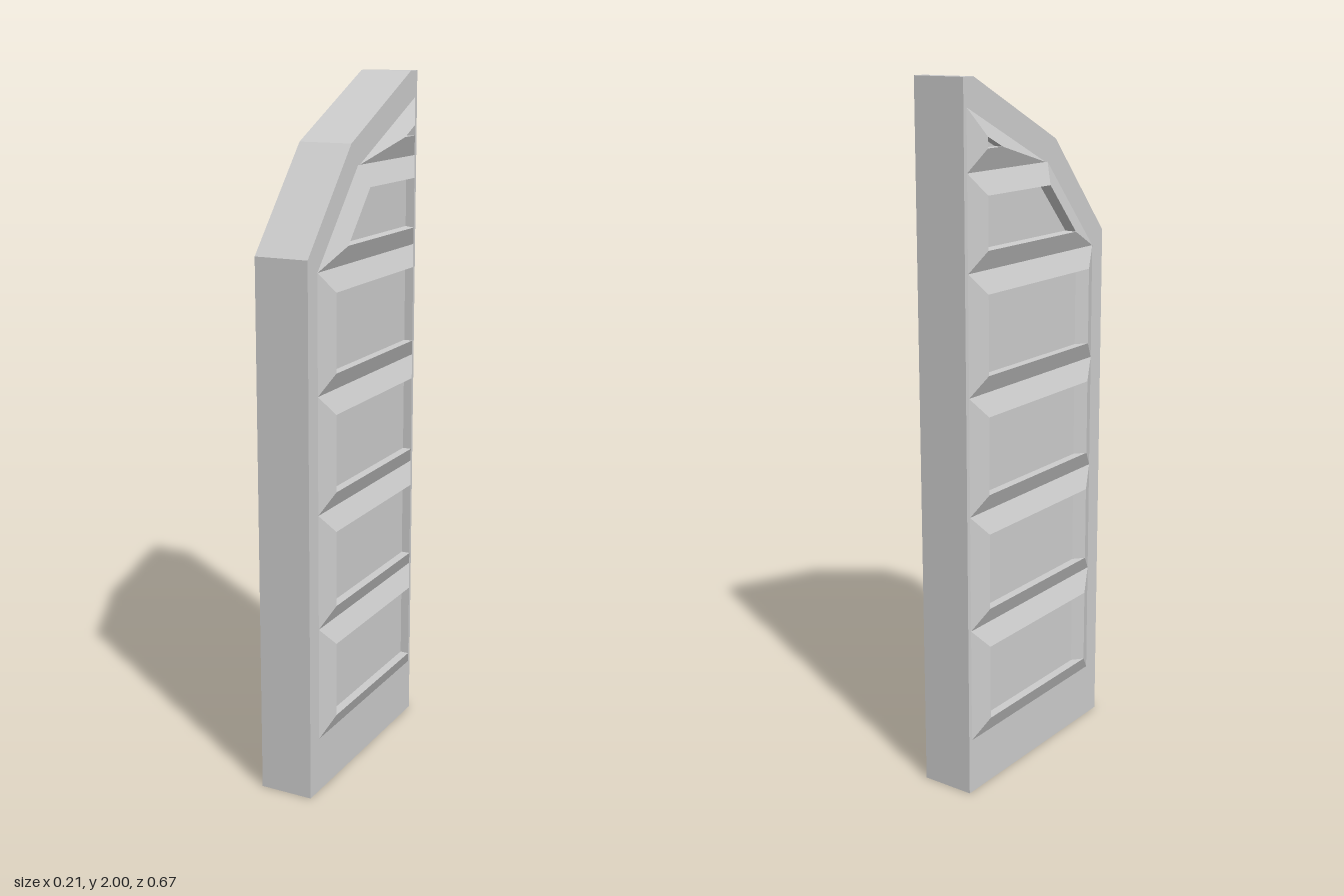
import * as THREE from 'three';

const FACE = 0.079;   // half thickness of the slab
const RIDGE = 0.105;  // height of the moulding crest

const material = new THREE.MeshStandardMaterial({ color: 0xcccccc, flatShading: true });

// Moulding frame around a panel: loops of [z, y], counter-clockwise seen from +x.
// Rises from the outer loop to the crest, then drops to the inner loop on the slab.
function mouldingGeometry(outer, crest, inner, side) {
  const rings = [[outer, FACE], [crest, RIDGE], [inner, FACE]];
  const pos = [];
  const n = outer.length;
  for (let r = 0; r < 2; r++) {
    for (let i = 0; i < n; i++) {
      const at = (k, j) => {
        const [z, y] = rings[k][0][j % n];
        return [rings[k][1] * side, y, z];
      };
      const a = at(r, i), b = at(r, i + 1), c = at(r + 1, i + 1), d = at(r + 1, i);
      if (side > 0) pos.push(...a, ...b, ...c, ...a, ...c, ...d);
      else pos.push(...a, ...c, ...b, ...a, ...d, ...c);
    }
  }
  const g = new THREE.BufferGeometry();
  g.setAttribute('position', new THREE.Float32BufferAttribute(pos, 3));
  g.computeVertexNormals();
  return g;
}

const rect = (front, back, y0, y1) => [[front, y0], [back, y0], [back, y1], [front, y1]];

export function createModel() {
  const group = new THREE.Group();
  group.name = 'gateLeaf';

  // Slab with a sloped, two-step top
  const outline = [[0.333, 0], [-0.333, 0], [-0.333, 2], [-0.29, 2], [0.085, 1.82], [0.333, 1.54]];
  const shape = new THREE.Shape(outline.map(([z, y]) => new THREE.Vector2(-z, y)));
  const slabGeometry = new THREE.ExtrudeGeometry(shape, { depth: FACE * 2, bevelEnabled: false });
  slabGeometry.translate(0, 0, -FACE);
  slabGeometry.rotateY(Math.PI / 2);
  const slab = new THREE.Mesh(slabGeometry, material);
  slab.name = 'slab';
  group.add(slab);

  // Four equal rectangular panels
  const panels = [];
  for (let i = 0; i < 4; i++) {
    const y = 0.163 + i * 0.3345;
    panels.push({
      name: 'panelMoulding' + (i + 1),
      outer: rect(0.28, -0.32, y, y + 0.3345),
      crest: rect(0.223, -0.265, y + 0.055, y + 0.275),
      inner: rect(0.192, -0.265, y + 0.055, y + 0.272),
    });
  }

  // Panel with a slanted front edge
  panels.push({
    name: 'slantedPanelMoulding',
    outer: [[0.28, 1.5], [-0.32, 1.5], [-0.32, 1.76], [0.045, 1.76]],
    crest: [[0.152, 1.557], [-0.265, 1.557], [-0.265, 1.7], [0.022, 1.7]],
    inner: [[0.137, 1.56], [-0.265, 1.56], [-0.265, 1.7], [0.008, 1.7]],
  });

  // Small triangular panel under the top
  const tip = [[-0.2, 1.82], [-0.265, 1.82], [-0.265, 1.85]];
  panels.push({
    name: 'triangularPanelMoulding',
    outer: [[0.035, 1.76], [-0.32, 1.76], [-0.32, 1.925]],
    crest: tip,
    inner: tip,
  });

  // Mouldings on both faces
  for (const { name, outer, crest, inner } of panels) {
    for (const side of [1, -1]) {
      const mesh = new THREE.Mesh(mouldingGeometry(outer, crest, inner, side), material);
      mesh.name = name + (side > 0 ? 'Left' : 'Right');
      group.add(mesh);
    }
  }
  return group;
}
